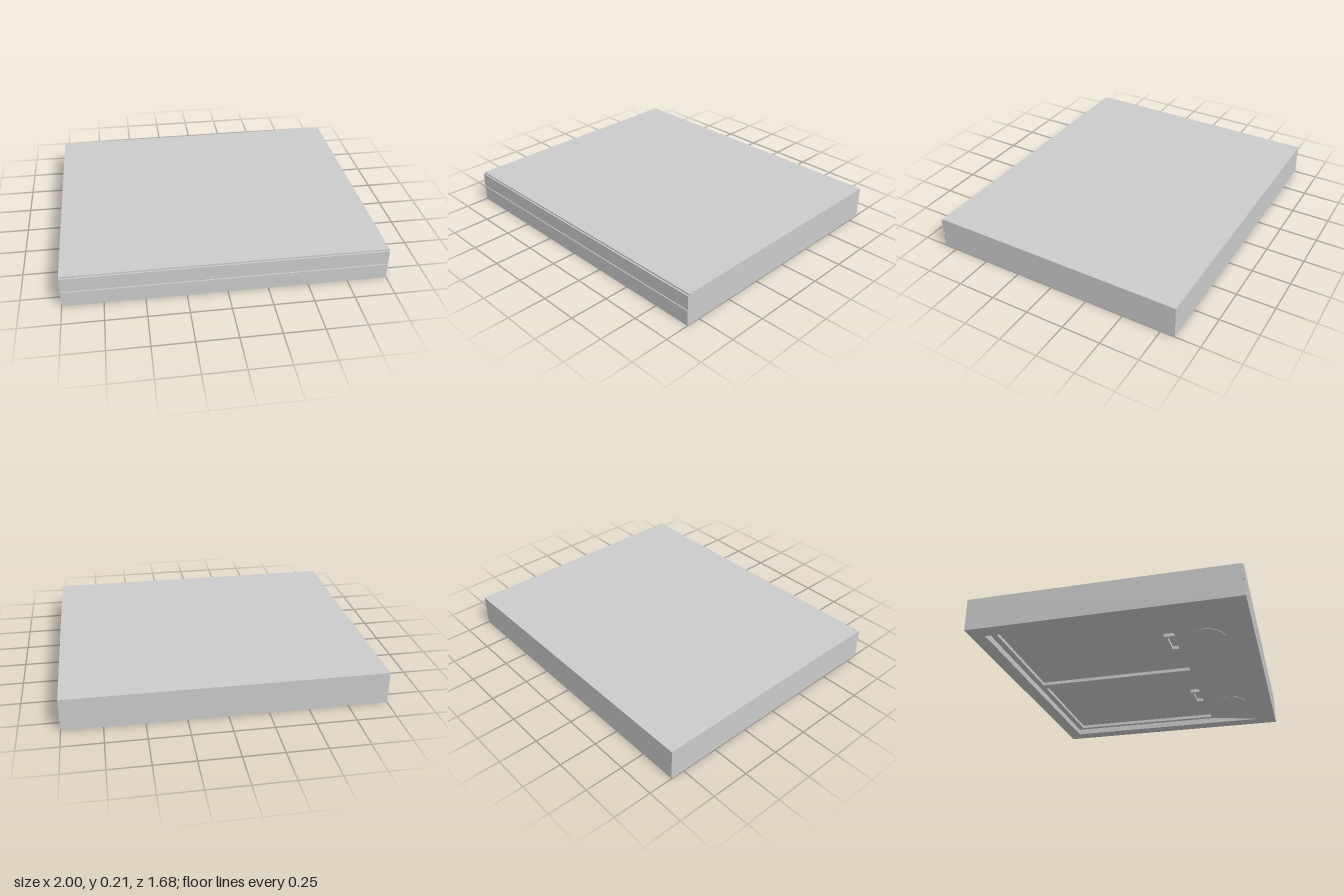
import * as THREE from 'three';

const grey = new THREE.MeshStandardMaterial({ color: 0xcccccc, side: THREE.DoubleSide });

export function createModel() {
  const hood = new THREE.Group();
  hood.name = 'rangeHood';

  const add = (name, geometry, x = 0, y = 0, z = 0) => {
    const mesh = new THREE.Mesh(geometry, grey);
    mesh.name = name;
    mesh.position.set(x, y, z);
    hood.add(mesh);
    return mesh;
  };
  // Box given by its limits on each axis
  const block = (name, x0, x1, y0, y1, z0, z1) =>
    add(name, new THREE.BoxGeometry(x1 - x0, y1 - y0, z1 - z0),
      (x0 + x1) / 2, (y0 + y1) / 2, (z0 + z1) / 2);
  // Outlines are drawn in plan as (x, z)
  const points = (list) => list.map(([x, z]) => new THREE.Vector2(x, z));
  const rect = (x0, x1, z0, z1) => points([[x0, z0], [x1, z0], [x1, z1], [x0, z1]]);
  // Flat plate with openings, spanning y0 to y1
  const plate = (name, outline, holes, y0, y1) => {
    const shape = new THREE.Shape(outline);
    holes.forEach((h) => shape.holes.push(new THREE.Path(h)));
    const geometry = new THREE.ExtrudeGeometry(shape, { depth: y1 - y0, bevelEnabled: false });
    geometry.rotateX(Math.PI / 2);
    return add(name, geometry, 0, y1, 0);
  };

  const back = -0.84, bodyFront = 0.83, front = 0.84;
  const recess = 0.04, bend = 0.38, recessFront = 0.71;

  // Outer casing, open below, and its lid
  plate('casing', rect(-1, 1, back, bodyFront), [rect(-0.9, 0.9, -0.75, recessFront)], 0, 0.205);
  block('lid', -1, 1, 0.205, 0.21, back, bodyFront);

  // Front fascia in two strips with a shadow gap
  block('lowerFascia', -1, 1, 0, 0.1, bodyFront, front);
  block('upperFascia', -1, 1, 0.106, 0.2, bodyFront, front);

  // Recessed underside with filter openings, each with a latch tab and finger slot
  const openings = [];
  for (const s of [-1, 1]) {
    const c = s * 0.45;
    openings.push(
      points([[c - 0.42, -0.71], [c + 0.42, -0.71], [c + 0.42, 0.35], [c + 0.1, 0.35],
        [c + 0.1, 0.28], [c - 0.1, 0.28], [c - 0.1, 0.35], [c - 0.42, 0.35]]),
      rect(c - 0.08, c + 0.08, 0.3, 0.345));
  }
  plate('filterFrame', rect(-0.9, 0.9, -0.75, bend), openings, recess, recess + 0.022);
  for (const s of [-1, 1]) {
    block('greaseFilter', s * 0.45 - 0.43, s * 0.45 + 0.43, recess + 0.022, recess + 0.03, -0.72, 0.36);
  }

  // Sloping lamp panel, running from the filters down to the front rim
  const run = recessFront - bend;
  const slope = Math.atan2(recess, run);
  const lampPanel = new THREE.Group();
  lampPanel.name = 'lampPanel';
  lampPanel.position.set(0, recess / 2, (bend + recessFront) / 2);
  lampPanel.rotation.x = slope;
  hood.add(lampPanel);
  const sheet = new THREE.PlaneGeometry(1.8, Math.hypot(run, recess)).rotateX(Math.PI / 2);
  const panel = new THREE.Mesh(sheet, grey);
  panel.name = 'lampPanelSheet';
  lampPanel.add(panel);

  // Round lamps
  for (const s of [-1, 1]) {
    const lamp = new THREE.Mesh(new THREE.CylinderGeometry(0.1, 0.1, 0.006, 32), grey);
    lamp.name = 'lamp';
    lamp.position.set(s * 0.54, 0, 0.02);
    lampPanel.add(lamp);
  }
  return hood;
}
